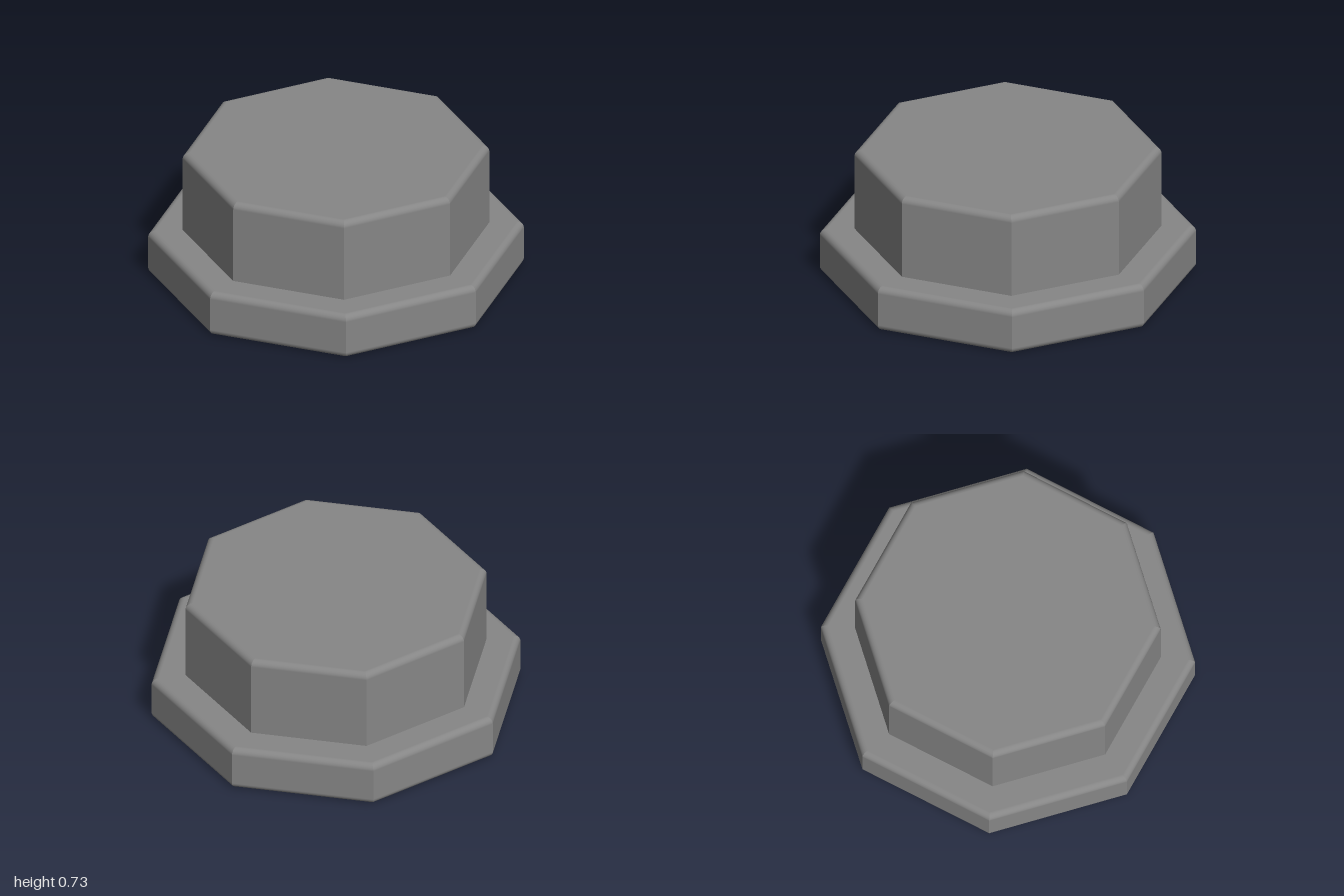
import * as THREE from 'three';

const SIDES = 8;
const FILLET = 0.036;
const STEPS = 5;

// Eight-sided block with rounded top and bottom rims and sharp upright edges.
function roundedPrism(radius, y0, y1) {
  const inset = FILLET / Math.cos(Math.PI / SIDES); // rim inset measured at the corners
  const profile = [new THREE.Vector2(0, y0)];
  for (const [cy, start] of [[y0 + FILLET, -Math.PI / 2], [y1 - FILLET, 0]]) {
    for (let i = 0; i <= STEPS; i++) {
      const a = start + (i / STEPS) * Math.PI / 2;
      profile.push(new THREE.Vector2(
        radius - inset + inset * Math.cos(a), cy + FILLET * Math.sin(a)));
    }
  }
  profile.push(new THREE.Vector2(0, y1));

  // Each sector gets its own normals: smooth across the rims, flat elsewhere.
  const geometry = new THREE.LatheGeometry(profile, SIDES).toNonIndexed();
  const { position, normal } = geometry.attributes;
  const perSector = 6 * (profile.length - 1);
  for (let v = 0; v < position.count; v++) {
    const phi = (Math.floor(v / perSector) + 0.5) * 2 * Math.PI / SIDES;
    const y = position.getY(v);
    const core = THREE.MathUtils.clamp(y, y0 + FILLET, y1 - FILLET);
    const ny = THREE.MathUtils.clamp((y - core) / FILLET, -1, 1);
    const out = Math.sqrt(1 - ny * ny);
    normal.setXYZ(v, out * Math.sin(phi), ny, out * Math.cos(phi));
  }
  return geometry;
}

export function createModel() {
  const group = new THREE.Group();
  group.name = 'steppedOctagon';
  const material = new THREE.MeshStandardMaterial({ color: 0x868686 });

  // Wide base, and a taller block sunk slightly into it
  const parts = [
    ['base', 1, 0, 0.257],
    ['upperBlock', 0.816, 0.19, 0.725],
  ];
  for (const [name, radius, y0, y1] of parts) {
    const mesh = new THREE.Mesh(roundedPrism(radius, y0, y1), material);
    mesh.name = name;
    group.add(mesh);
  }
  return group;
}
